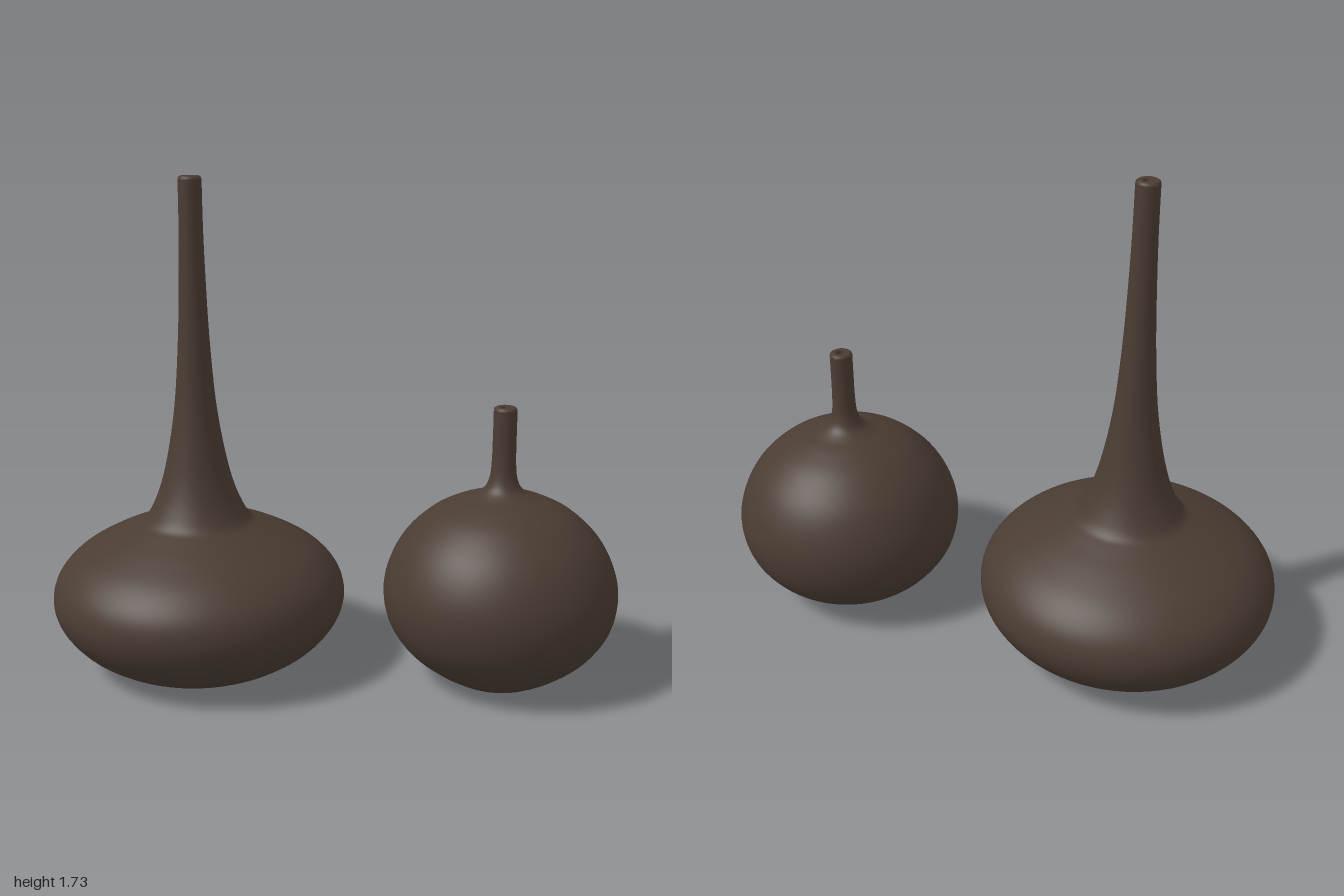
import * as THREE from 'three';

const glaze = new THREE.MeshStandardMaterial({ color: 0x4a3c32 });
glaze.name = 'dark brown glaze';

const toPoints = (pairs) => pairs.map(([r, y]) => new THREE.Vector2(r, y));

// One bottle vase: splined wall, rim with a narrow mouth, flat foot
function makeVase(name, x, profile) {
  const vase = new THREE.Group();
  vase.name = name;
  vase.position.x = x;
  const add = (part, geometry) => {
    const mesh = new THREE.Mesh(geometry, glaze);
    mesh.name = part;
    vase.add(mesh);
    return mesh;
  };

  const wall = new THREE.SplineCurve(toPoints(profile)).getPoints(90);
  add('body', new THREE.LatheGeometry(wall, 72));

  // rounded lip turning in to the mouth
  const [r, top] = profile[profile.length - 1];
  add('rim', new THREE.LatheGeometry(toPoints([
    [r, top], [r - 0.002, top + 0.006], [r - 0.008, top + 0.01],
    [0.02, top + 0.01], [0.015, top + 0.006], [0.013, top - 0.03], [0, top - 0.03],
  ]), 32));

  const foot = add('foot', new THREE.CircleGeometry(profile[0][0], 72));
  foot.rotation.x = Math.PI / 2;
  return vase;
}

export function createModel() {
  const model = new THREE.Group();
  model.name = 'vasePair';
  // wide vase with a tall tapering neck
  model.add(makeVase('tallVase', -0.48, [
    [0.28, 0], [0.36, 0.04], [0.44, 0.098], [0.5, 0.175], [0.52, 0.255],
    [0.497, 0.335], [0.43, 0.408], [0.33, 0.467], [0.235, 0.51], [0.188, 0.535],
    [0.155, 0.59], [0.128, 0.66], [0.105, 0.75], [0.083, 0.87], [0.067, 1.0],
    [0.053, 1.2], [0.045, 1.4], [0.041, 1.56], [0.04, 1.72],
  ]));
  // round vase with a short neck
  model.add(makeVase('roundVase', 0.593, [
    [0.165, 0], [0.24, 0.045], [0.325, 0.115], [0.385, 0.205], [0.406, 0.31],
    [0.388, 0.41], [0.335, 0.51], [0.25, 0.592], [0.165, 0.638], [0.1, 0.662],
    [0.063, 0.688], [0.046, 0.73], [0.041, 0.79], [0.04, 0.87], [0.04, 0.962],
  ]));
  return model;
}
